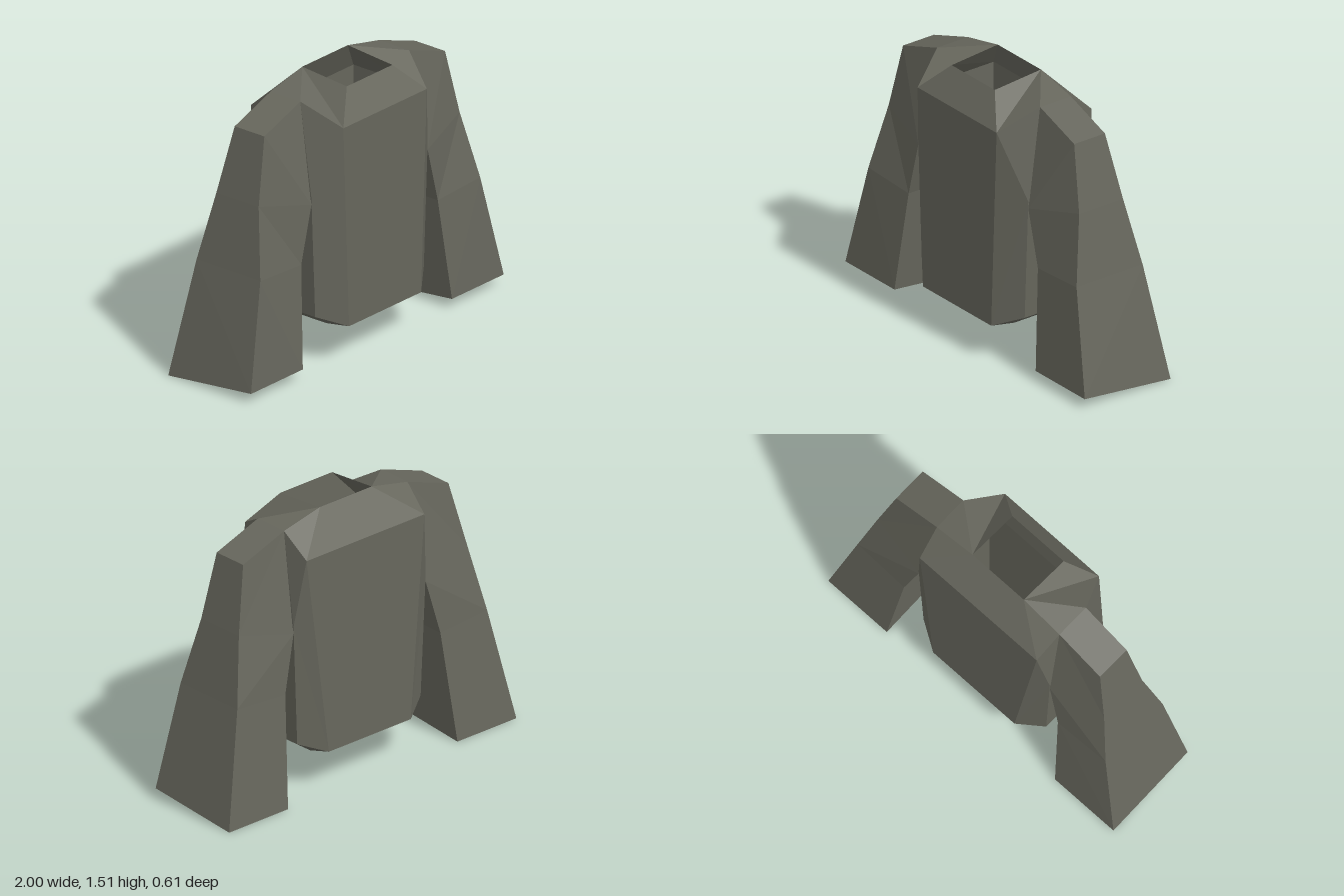
import * as THREE from 'three';

const cloth = new THREE.MeshStandardMaterial({
  color: 0x66665c, flatShading: true, side: THREE.DoubleSide, roughness: 0.9,
});

const flip = ([x, y, z]) => [-x, y, z];
const quad = (a, b, c, d) => [[a, b, c], [a, c, d]];
const mirrored = (tris) => tris.map(([a, b, c]) => [flip(a), flip(c), flip(b)]);

// Flat-shaded mesh from a list of triangles
function mesh(name, tris) {
  const geo = new THREE.BufferGeometry();
  geo.setAttribute('position', new THREE.Float32BufferAttribute(tris.flat(2), 3));
  geo.computeVertexNormals();
  const m = new THREE.Mesh(geo, cloth);
  m.name = name;
  return m;
}

// Joins closed rings of equal point count, from top to bottom
function loft(rings) {
  const tris = [];
  for (let r = 0; r < rings.length - 1; r++) {
    const up = rings[r], low = rings[r + 1], n = up.length;
    for (let i = 0; i < n; i++) {
      const j = (i + 1) % n;
      tris.push(...quad(low[i], low[j], up[j], up[i]));
    }
  }
  return tris;
}

// Corner points of the torso on the model's left half
const neckF = [0.18, 1.49, 0.2], neckB = [0.18, 1.515, -0.1];
const chestF = [0.33, 1.335, 0.305], chestB = [0.41, 1.335, -0.25];
const shoulderF = [0.43, 1.46, 0.1], shoulderB = [0.43, 1.46, -0.1];
const armpitF = [0.46, 0.96, 0.2], armpitB = [0.46, 0.96, -0.205];
const sideF = [0.43, 0.28, 0.2], sideB = [0.43, 0.28, -0.2];
const hemF = [0.285, 0.21, 0.305], hemB = [0.285, 0.22, -0.283];
const innerF = [0.33, 0.21, 0.19], innerB = [0.33, 0.21, -0.19];

function torsoShell() {
  const half = [
    // front corner facets
    [chestF, armpitF, shoulderF], [chestF, hemF, armpitF], [hemF, sideF, armpitF],
    // side under and behind the sleeve
    ...quad(armpitF, armpitB, shoulderB, shoulderF), ...quad(sideF, sideB, armpitB, armpitF),
    // back corner facets
    [chestB, shoulderB, armpitB], [chestB, armpitB, hemB], [hemB, armpitB, sideB],
    // shoulder top
    [neckB, neckF, chestF], [neckB, chestF, shoulderF],
    [neckB, shoulderF, shoulderB], [neckB, shoulderB, chestB],
  ];
  const span = (a, b) => quad(flip(a), a, b, flip(b));
  return [
    ...half, ...mirrored(half),
    ...span(hemF, chestF), ...span(chestF, neckF),
    ...span(neckB, chestB), ...span(chestB, hemB),
  ];
}

// Underside rim between the outer hem and the lining
function hemRim() {
  const half = [
    [innerF, sideF, hemF], ...quad(innerB, sideB, sideF, innerF), [innerB, hemB, sideB],
  ];
  return [
    ...half, ...mirrored(half),
    ...quad(flip(innerF), innerF, hemF, flip(hemF)),
    ...quad(flip(hemB), hemB, innerB, flip(innerB)),
  ];
}

// Inside of the torso, from the hem up to the neck opening
function lining() {
  const ring = (f, b) => [flip(f), flip(b), b, f];
  return loft([
    ring(innerF, innerB),
    ring([0.33, 1.33, 0.19], [0.33, 1.33, -0.19]),
    ring(neckF, neckB),
  ]);
}

// Sleeve rings: inner front, outer front, outer back, inner back
function sleeve() {
  const rings = [
    [shoulderF, [0.715, 1.36, 0.1], [0.715, 1.36, -0.1], shoulderB],
    [[0.46, 0.92, 0.2], [0.795, 1.0, 0.13], [0.795, 1.0, -0.155], [0.46, 0.92, -0.205]],
    [[0.54, 0.61, 0.2], [0.87, 0.63, 0.205], [0.87, 0.63, -0.225], [0.54, 0.61, -0.23]],
    [[0.59, 0.055, 0.253], [1, 0.055, 0.253], [1, 0, -0.305], [0.59, 0, -0.305]],
  ];
  return [...quad(...rings[0]), ...loft(rings)];
}

export function createModel() {
  const group = new THREE.Group();
  group.name = 'jacket';
  const leftSleeve = sleeve();
  group.add(
    mesh('torso', torsoShell()),
    mesh('hemRim', hemRim()),
    mesh('lining', lining()),
    mesh('leftSleeve', leftSleeve),
    mesh('rightSleeve', mirrored(leftSleeve)),
  );
  return group;
}
